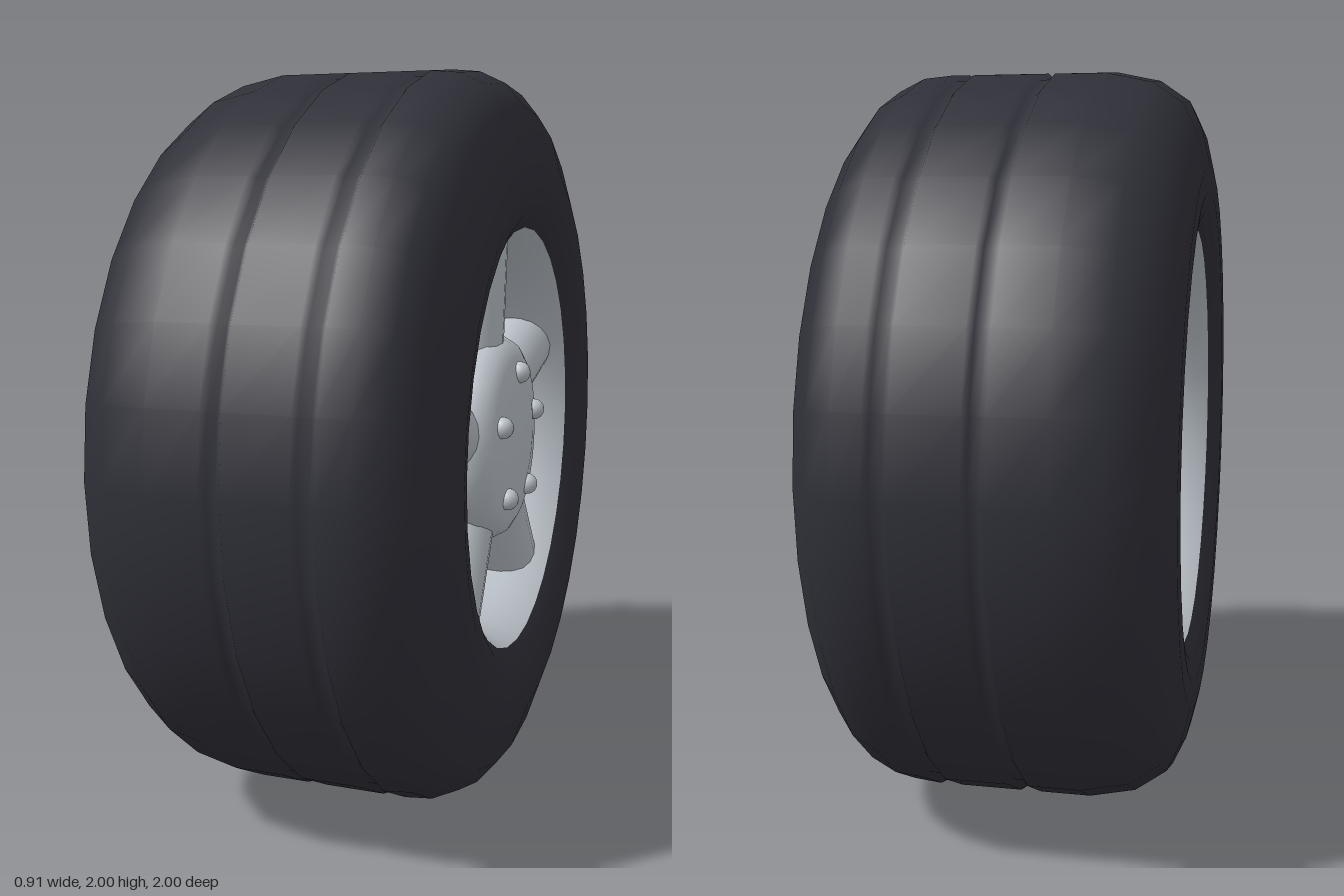
import * as THREE from 'three';

const SIDES = 32;

// Revolve [axle position, radius] pairs around the x axis
function revolve(profile, material, name) {
  const points = profile.map(([x, r]) => new THREE.Vector2(r, x));
  const geometry = new THREE.LatheGeometry(points, SIDES);
  geometry.rotateZ(-Math.PI / 2);
  const mesh = new THREE.Mesh(geometry, material);
  mesh.name = name;
  return mesh;
}

export function createModel() {
  const rubber = new THREE.MeshStandardMaterial({ color: 0x2f2f38 });
  rubber.name = 'dark rubber';
  const metal = new THREE.MeshStandardMaterial({ color: 0xbcc3ca, side: THREE.DoubleSide });
  metal.name = 'light grey metal';

  const wheel = new THREE.Group();
  wheel.name = 'wheel';
  wheel.position.y = 1;

  // Tyre with rounded sidewalls and two shallow tread grooves
  wheel.add(revolve([
    [-0.42, 0.58], [-0.445, 0.62], [-0.457, 0.68], [-0.457, 0.75],
    [-0.435, 0.845], [-0.4, 0.92], [-0.32, 0.975], [-0.2, 1],
    [-0.065, 1], [-0.05, 0.985], [-0.025, 0.985], [-0.01, 1],
    [0.155, 1], [0.168, 0.985], [0.2, 0.985], [0.215, 1],
    [0.29, 0.993], [0.36, 0.96], [0.41, 0.9], [0.455, 0.77],
    [0.457, 0.68], [0.445, 0.62], [0.42, 0.58],
  ], rubber, 'tyre'));

  // Rim barrel, flared towards both openings
  wheel.add(revolve([
    [0.42, 0.58], [0.38, 0.553], [0.32, 0.53], [0.24, 0.512], [0.12, 0.5],
    [-0.12, 0.5], [-0.24, 0.512], [-0.32, 0.53], [-0.38, 0.553], [-0.42, 0.58],
  ], metal, 'rim'));

  // Domed hub
  wheel.add(revolve([
    [0.17, 0], [0.17, 0.25], [0.21, 0.28], [0.3, 0.29], [0.35, 0.285],
    [0.385, 0.265], [0.405, 0.23], [0.418, 0.15], [0.422, 0],
  ], metal, 'hub'));

  // Five spokes, each set slightly to one side of its radius, and five bolts
  const spokeGeometry = new THREE.CylinderGeometry(0.112, 0.102, 0.4, 20);
  const boltGeometry = new THREE.SphereGeometry(0.03, 16, 10);
  for (let i = 0; i < 5; i++) {
    const arm = new THREE.Group();
    arm.name = 'arm' + (i + 1);
    arm.rotation.x = (i * Math.PI * 2) / 5;

    const spoke = new THREE.Mesh(spokeGeometry, metal);
    spoke.name = 'spoke';
    spoke.position.set(0.27, 0.355, 0.04);

    const bolt = new THREE.Mesh(boltGeometry, metal);
    bolt.name = 'bolt';
    bolt.position.set(0.414, 0.185, 0);

    arm.add(spoke, bolt);
    wheel.add(arm);
  }

  const model = new THREE.Group();
  model.name = 'spoked wheel';
  model.add(wheel);
  return model;
}
